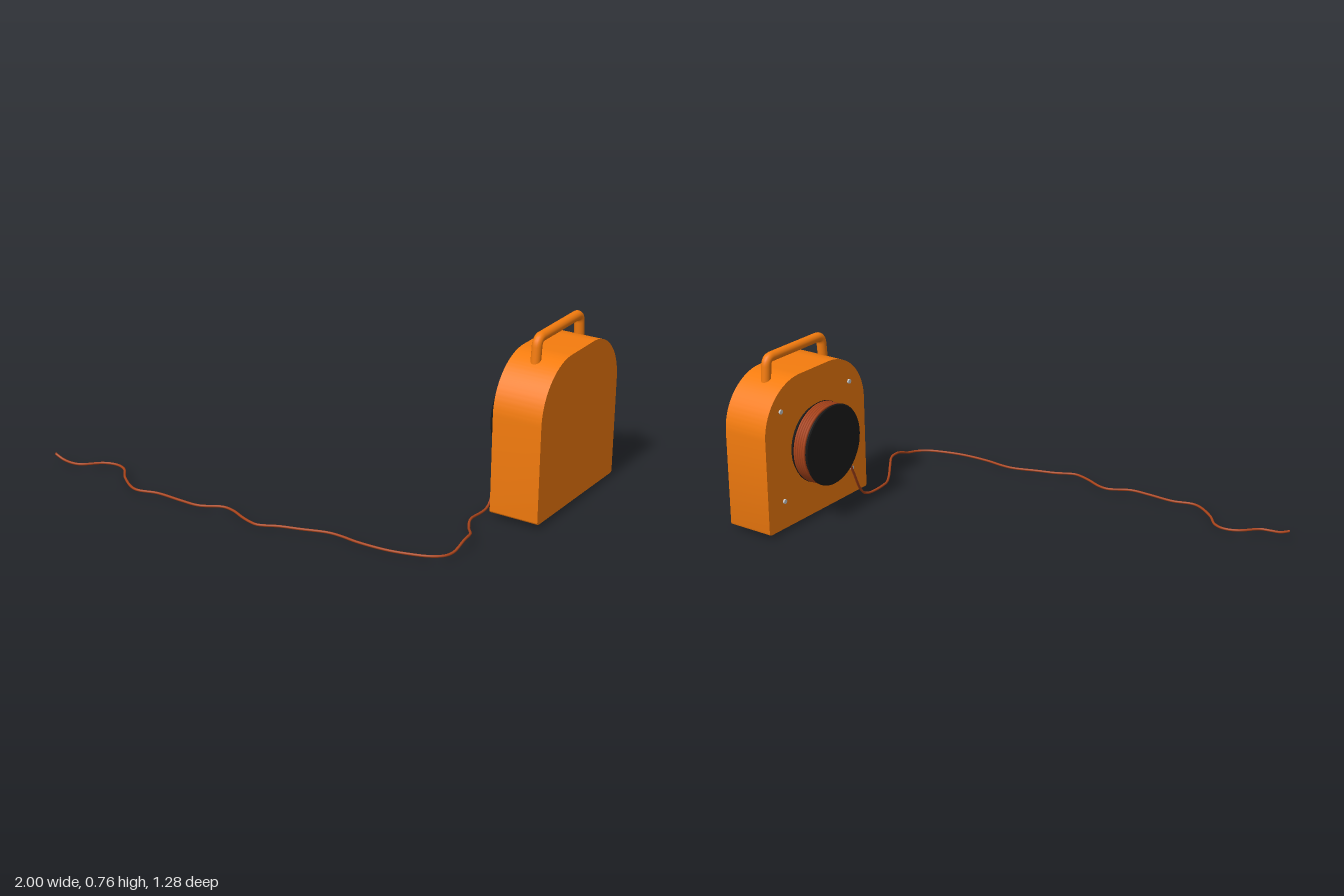
import * as THREE from 'three';
import { toCreasedNormals } from 'three/addons/utils/BufferGeometryUtils.js';

const mat = (color) => new THREE.MeshStandardMaterial({ color });
const V = (x, y, z) => new THREE.Vector3(x, y, z);

export function createModel() {
  const group = new THREE.Group();
  const orange = mat(0xf57c0e), black = mat(0x1c1c1c), rust = mat(0xa8431a), steel = mat(0xcccccc);
  const add = (name, geometry, material, parent = group) => {
    const mesh = new THREE.Mesh(geometry, material);
    mesh.name = name;
    parent.add(mesh);
    return mesh;
  };

  // Housing: arched outline drawn in (-z, y), extruded along x
  const u0 = -0.005, u1 = 0.64, top = 0.668, r = 0.23;
  const outline = new THREE.Shape();
  outline.moveTo(u0 + 0.012, 0.021);
  outline.lineTo(u1 - 0.012, 0.016);
  outline.quadraticCurveTo(u1, 0.016, u1, 0.028);
  outline.lineTo(u1, top - r);
  outline.absarc(u1 - r, top - r, r, 0, Math.PI / 2, false);
  outline.lineTo(u0 + r, top);
  outline.absarc(u0 + r, top - r, r, Math.PI / 2, Math.PI, false);
  outline.lineTo(u0, 0.033);
  outline.quadraticCurveTo(u0, 0.021, u0 + 0.012, 0.021);
  const body = new THREE.ExtrudeGeometry(outline, { depth: 0.215, bevelEnabled: false, curveSegments: 24 });
  body.rotateY(Math.PI / 2);
  body.translate(0.785, 0, 0);
  add('housing', toCreasedNormals(body, 0.5), orange);

  // Carrying handle: a bent bar with rounded corners
  const handlePath = new THREE.CurvePath();
  const hx = 0.89;
  const bar = [V(hx, 0.62, -0.133), V(hx, 0.705, -0.14), V(hx, 0.738, -0.172),
    V(hx, 0.738, -0.463), V(hx, 0.705, -0.495), V(hx, 0.62, -0.502)];
  handlePath.add(new THREE.LineCurve3(bar[0], bar[1]));
  handlePath.add(new THREE.QuadraticBezierCurve3(bar[1], V(hx, 0.738, -0.143), bar[2]));
  handlePath.add(new THREE.LineCurve3(bar[2], bar[3]));
  handlePath.add(new THREE.QuadraticBezierCurve3(bar[3], V(hx, 0.738, -0.492), bar[4]));
  handlePath.add(new THREE.LineCurve3(bar[4], bar[5]));
  add('handle', new THREE.TubeGeometry(handlePath, 80, 0.021, 16), orange);

  // Cable drum: turned profile (radius, x) around a sideways axis
  const reel = new THREE.Group();
  reel.name = 'reel';
  reel.position.set(0, 0.343, -0.32);
  group.add(reel);
  const profile = [[0, 0.69], [0.172, 0.69], [0.177, 0.693], [0.158, 0.71], [0.14, 0.712],
    [0.14, 0.76], [0.177, 0.764], [0.16, 0.788], [0, 0.788]].map(([a, b]) => new THREE.Vector2(a, b));
  const drum = new THREE.LatheGeometry(profile, 48);
  drum.rotateZ(-Math.PI / 2);
  add('drum', toCreasedNormals(drum, 0.5), black, reel);

  // Wound cable: side-by-side turns on the drum
  for (let i = 0; i < 5; i++) {
    const turn = new THREE.TorusGeometry(0.169, 0.0065, 8, 48);
    turn.rotateY(Math.PI / 2);
    add('cableTurn', turn, rust, reel).position.x = 0.713 + i * 0.0115;
  }

  // Screws in the corners of the reel side
  for (const z of [-0.095, -0.54]) {
    for (const y of [0.14, 0.54]) {
      const screw = add('screw', new THREE.CylinderGeometry(0.01, 0.01, 0.012, 12), steel);
      screw.rotation.z = Math.PI / 2;
      screw.position.set(0.784, y, z);
    }
  }

  // Loose cable: leaves the drum, drops and trails over the ground
  const lead = [V(0.71, 0.225, -0.2), V(0.718, 0.16, -0.165), V(0.742, 0.018, -0.06),
    V(0.742, 0.011, 0.08), V(0.775, 0.011, 0.15), V(0.82, 0.035, 0.22), V(0.85, 0.05, 0.27),
    V(0.858, 0.05, 0.33), V(0.855, 0.028, 0.4)];
  const trail = [[0.84, 0.44], [0.8, 0.475], [0.72, 0.505], [0.63, 0.525], [0.5, 0.53], [0.42, 0.522],
    [0.36, 0.524], [0.25, 0.56], [0.17, 0.585], [0.09, 0.622], [0.05, 0.617], [0, 0.6], [-0.07, 0.57],
    [-0.12, 0.565], [-0.21, 0.61], [-0.3, 0.613], [-0.42, 0.61], [-0.52, 0.632], [-0.63, 0.565],
    [-0.69, 0.5], [-0.74, 0.483], [-0.8, 0.5], [-0.87, 0.565], [-0.91, 0.575]].map(([x, z]) => V(x, 0.025, z));
  const path = new THREE.CatmullRomCurve3([...lead, ...trail, V(-0.96, 0.03, 0.575), V(-1, 0.045, 0.575)]);
  add('looseCable', new THREE.TubeGeometry(path, 260, 0.0055, 8), rust);

  // Cable end cap
  const end = add('cableEnd', new THREE.SphereGeometry(0.0055, 8, 6), rust);
  end.position.set(-0.998, 0.045, 0.575);

  return group;
}
